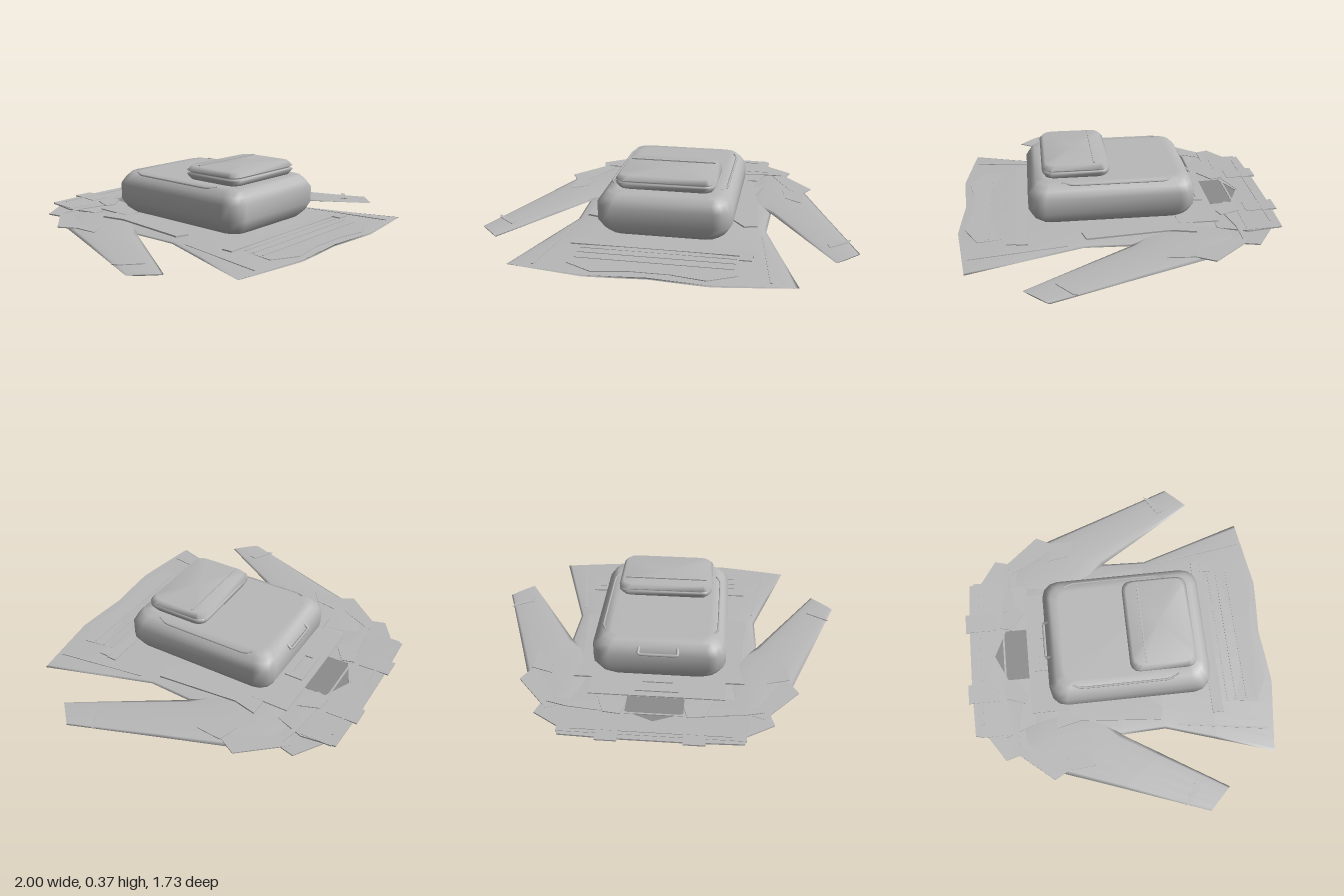
import * as THREE from 'three';

export function createModel() {
  const model = new THREE.Group();
  model.name = 'jacketWithBackpack';
  const cloth = new THREE.MeshStandardMaterial({ color: 0xb8b8b8, side: THREE.DoubleSide });
  cloth.name = 'grey cloth';
  const lining = new THREE.MeshStandardMaterial({ color: 0x8c8c8c, side: THREE.DoubleSide });
  lining.name = 'dark lining';

  const add = (name, geo, mat = cloth) => {
    const mesh = new THREE.Mesh(geo, mat);
    mesh.name = name;
    model.add(mesh);
    return mesh;
  };

  // Closed smooth skin through rings of equal point count, capped at both ends
  const loft = (rings) => {
    const n = rings[0].length, pos = [], idx = [];
    rings.forEach((r) => r.forEach((p) => pos.push(...p)));
    for (let k = 0; k < rings.length - 1; k++)
      for (let i = 0; i < n; i++) {
        const a = k * n + i, b = k * n + (i + 1) % n;
        idx.push(a, b, b + n, a, b + n, a + n);
      }
    [0, rings.length - 1].forEach((k, end) => {
      const c = pos.length / 3;
      pos.push(...[0, 1, 2].map((j) => rings[k].reduce((s, p) => s + p[j], 0) / n));
      for (let i = 0; i < n; i++) {
        const a = k * n + i, b = k * n + (i + 1) % n;
        idx.push(...(end ? [c, a, b] : [c, b, a]));
      }
    });
    const g = new THREE.BufferGeometry();
    g.setAttribute('position', new THREE.Float32BufferAttribute(pos, 3));
    g.setIndex(idx);
    g.computeVertexNormals();
    return g;
  };

  // Thin cut panel lying flat; points are [x, z], tilt raises it towards the back
  const panel = (name, pts, y, thick = 0.006, tilt = 0, mat = cloth, hole = null) => {
    const toVec = ([x, z]) => new THREE.Vector2(x, -z);
    const shape = new THREE.Shape(pts.map(toVec));
    if (hole) shape.holes.push(new THREE.Path(hole.map(toVec)));
    const g = new THREE.ExtrudeGeometry(shape, { depth: thick, bevelEnabled: false });
    g.rotateX(-Math.PI / 2);
    const p = g.attributes.position;
    for (let i = 0; i < p.count; i++) p.setY(i, p.getY(i) + y - tilt * (p.getZ(i) + 0.6));
    g.computeVertexNormals();
    return add(name, g, mat);
  };
  const pair = (name, pts, ...rest) => [['left', 1], ['right', -1]].forEach(([side, s]) =>
    panel(side + name, pts.map(([x, z]) => [s * x, z]), ...rest));
  const symmetric = (half) => [...half, ...half.map(([x, z]) => [-x, z]).reverse()];
  const rect = (x0, x1, z0, z1) => [[x0, z0], [x1, z0], [x1, z1], [x0, z1]];

  // Jacket body: a flat flared sleeve of cloth with a pointed hem
  const body = [[-0.62, 0.46, 0.036], [-0.4, 0.53, 0.038], [-0.02, 0.53, 0.04],
    [0.22, 0.52, 0.042], [0.5, 0.61, 0.036], [0.82, 0.71, 0.024]];
  add('jacketBody', loft(body.map(([z, w, top], k) => {
    const ring = [];
    for (let i = 0; i < 28; i++) {
      const a = (i / 28) * Math.PI * 2, x = w * Math.cos(a), s = Math.sin(a), ax = Math.abs(x);
      const hem = k === 5 ? (ax < 0.3 ? 0.02 + ax * 0.085 : 0.045 - (ax - 0.3) * 0.135) : 0;
      ring.push([x, 0.018 + s * (s > 0 ? top - 0.018 : k === 5 ? 0.004 : 0.012), z + hem]);
    }
    return ring;
  })));

  // Sleeves: flattened tubes given by outer and inner edge points
  const sleeve = [[0.44, -0.64, 0.36, -0.2, 0.012], [0.55, -0.62, 0.47, -0.08, 0.013],
    [0.71, -0.38, 0.535, -0.02, 0.013], [0.83, -0.05, 0.66, 0.18, 0.011], [1.0, 0.41, 0.88, 0.53, 0.004]];
  [['left', 1], ['right', -1]].forEach(([side, s]) => {
    add(side + 'Sleeve', loft(sleeve.map(([ox, oz, ix, iz, h]) => {
      const ring = [];
      for (let i = 0; i < 12; i++) {
        const a = (i / 12) * Math.PI * 2, c = Math.cos(a) / 2;
        ring.push([s * ((ox + ix) / 2 + (ox - ix) * c), 0.022 + h * Math.sin(a), (oz + iz) / 2 + (oz - iz) * c]);
      }
      return s > 0 ? ring : ring.reverse();
    })));
  });
  pair('CuffStrap', [[0.84, 0.34], [0.96, 0.27], [0.95, 0.3], [0.85, 0.38]], 0.029, 0.004);

  // Shoulder patches and sleeve caps
  pair('ShoulderCap', [[0.5, -0.62], [0.56, -0.64], [0.745, -0.42], [0.68, -0.3], [0.6, -0.42]], 0.027, 0.006);
  pair('ElbowPatch', [[0.58, -0.36], [0.7, -0.32], [0.69, -0.18], [0.6, -0.24]], 0.032, 0.005);
  pair('HoodSide', [[0.4, -0.78], [0.46, -0.78], [0.61, -0.68], [0.57, -0.53], [0.42, -0.52]], 0.024, 0.007, 0.02);

  // Hood band with an open neck and its dark inside
  const neck = [[0, -0.71], [0.15, -0.64], [0.15, -0.52], [-0.15, -0.52], [-0.15, -0.64]];
  panel('hoodBand', symmetric([[0, -0.86], [0.15, -0.85], [0.46, -0.84], [0.48, -0.66], [0.42, -0.5], [0, -0.5]]
    .slice(1)), 0.03, 0.008, 0.03, cloth, neck);
  panel('neckLining', neck, 0.034, 0.003, 0, lining);
  panel('hoodFold', rect(-0.47, 0.47, -0.82, -0.65), 0.033, 0.007, 0.03, cloth,
    [[0, -0.72], [0.17, -0.66], [-0.17, -0.66]]);
  panel('hoodSeam', rect(-0.4, 0.4, -0.8, -0.79), 0.041, 0.003, 0.03);
  pair('HoodLoop', rect(0.16, 0.27, -0.87, -0.7), 0.036, 0.007, 0.03);
  pair('CollarFlap', [[0.17, -0.67], [0.26, -0.66], [0.3, -0.55], [0.25, -0.53], [0.15, -0.6]], 0.042, 0.005);
  pair('CollarStrap', [[0.27, -0.65], [0.45, -0.63], [0.56, -0.6], [0.43, -0.6], [0.29, -0.57]], 0.038, 0.005);

  // Back yoke, side panels and hanging loop
  panel('backYoke', rect(-0.36, 0.36, -0.52, -0.3), 0.038, 0.006);
  pair('SidePanel', [[0.3, -0.38], [0.46, -0.38], [0.43, -0.25], [0.47, 0.2], [0.4, 0.22], [0.3, 0.1]], 0.034, 0.009);
  panel('hangingLoop', rect(-0.115, 0.115, -0.485, -0.38), 0.043, 0.007, 0, cloth, rect(-0.08, 0.08, -0.455, -0.41));

  // Lower back pockets, belts and seams
  panel('lowerBelt', rect(-0.46, 0.48, 0.5, 0.56), 0.03, 0.007);
  panel('lowerPanel', symmetric([[0.1, 0.64], [0.4, 0.6], [0.42, 0.76], [0.28, 0.83], [0.1, 0.8]]), 0.024, 0.005);
  [0.59, 0.64, 0.7].forEach((z) => panel('hemSeam', rect(-0.4, 0.4, z, z + 0.006), 0.031, 0.003));
  panel('beltTab', rect(0.41, 0.475, 0.55, 0.61), 0.033, 0.006);
  pair('VentStrip', [[0.5, 0.3], [0.51, 0.3], [0.585, 0.8], [0.575, 0.8]], 0.025, 0.004);

  // Pads and straps on the underside
  pair('UnderPad', [[0.06, -0.16], [0.15, -0.2], [0.22, -0.12], [0.2, 0.14], [0.1, 0.16]], 0.001, 0.006);
  pair('UnderStrap', rect(0.29, 0.34, -0.16, 0.14), 0, 0.006);

  // Rounded-rectangle ring for the bag and its pocket, counter-clockwise from above
  const boxRing = (w, z0, z1, y, r) => {
    const ring = [];
    [[w - r, z0 + r], [r - w, z0 + r], [r - w, z1 - r], [w - r, z1 - r]].forEach(([cx, cz], q) => {
      for (let i = 0; i < 4; i++) {
        const a = (q + i / 3) * Math.PI / 2;
        ring.push([cx + r * Math.cos(a), y, cz - r * Math.sin(a)]);
      }
    });
    return ring;
  };
  add('backpackBody', loft([
    [0.24, -0.3, 0.39, 0.05, 0.05], [0.29, -0.35, 0.44, 0.052, 0.07], [0.325, -0.375, 0.465, 0.08, 0.08],
    [0.355, -0.4, 0.49, 0.13, 0.09], [0.355, -0.4, 0.49, 0.215, 0.09], [0.33, -0.38, 0.47, 0.25, 0.08],
    [0.3, -0.355, 0.445, 0.279, 0.07], [0.26, -0.31, 0.4, 0.28, 0.05]].map((r) => boxRing(...r))));
  add('frontPocket', loft([
    [0.22, 0.09, 0.37, 0.283, 0.04], [0.245, 0.065, 0.395, 0.288, 0.05], [0.262, 0.05, 0.41, 0.315, 0.05],
    [0.25, 0.062, 0.398, 0.322, 0.05], [0.25, 0.062, 0.398, 0.328, 0.05], [0.262, 0.05, 0.41, 0.335, 0.05],
    [0.242, 0.07, 0.39, 0.36, 0.05]].map((r) => boxRing(...r))));

  // Zip, side piping and carry handle
  const zip = add('pocketZip', new THREE.BoxGeometry(0.46, 0.006, 0.008));
  zip.position.set(0, 0.363, 0.135);
  const tube = (name, pts, r) => add(name, new THREE.TubeGeometry(
    new THREE.CatmullRomCurve3(pts.map((p) => new THREE.Vector3(...p)), false, 'catmullrom', 0.1), 24, r, 6));
  [['left', 1], ['right', -1]].forEach(([side, s]) =>
    tube(side + 'Piping', [[s * 0.29, 0.28, -0.27], [s * 0.308, 0.274, -0.22], [s * 0.308, 0.274, 0.25], [s * 0.285, 0.28, 0.31]], 0.006));
  tube('carryHandle', [[-0.1, 0.25, -0.375], [-0.1, 0.225, -0.405], [0.1, 0.225, -0.405], [0.1, 0.25, -0.375]], 0.008);

  return model;
}
